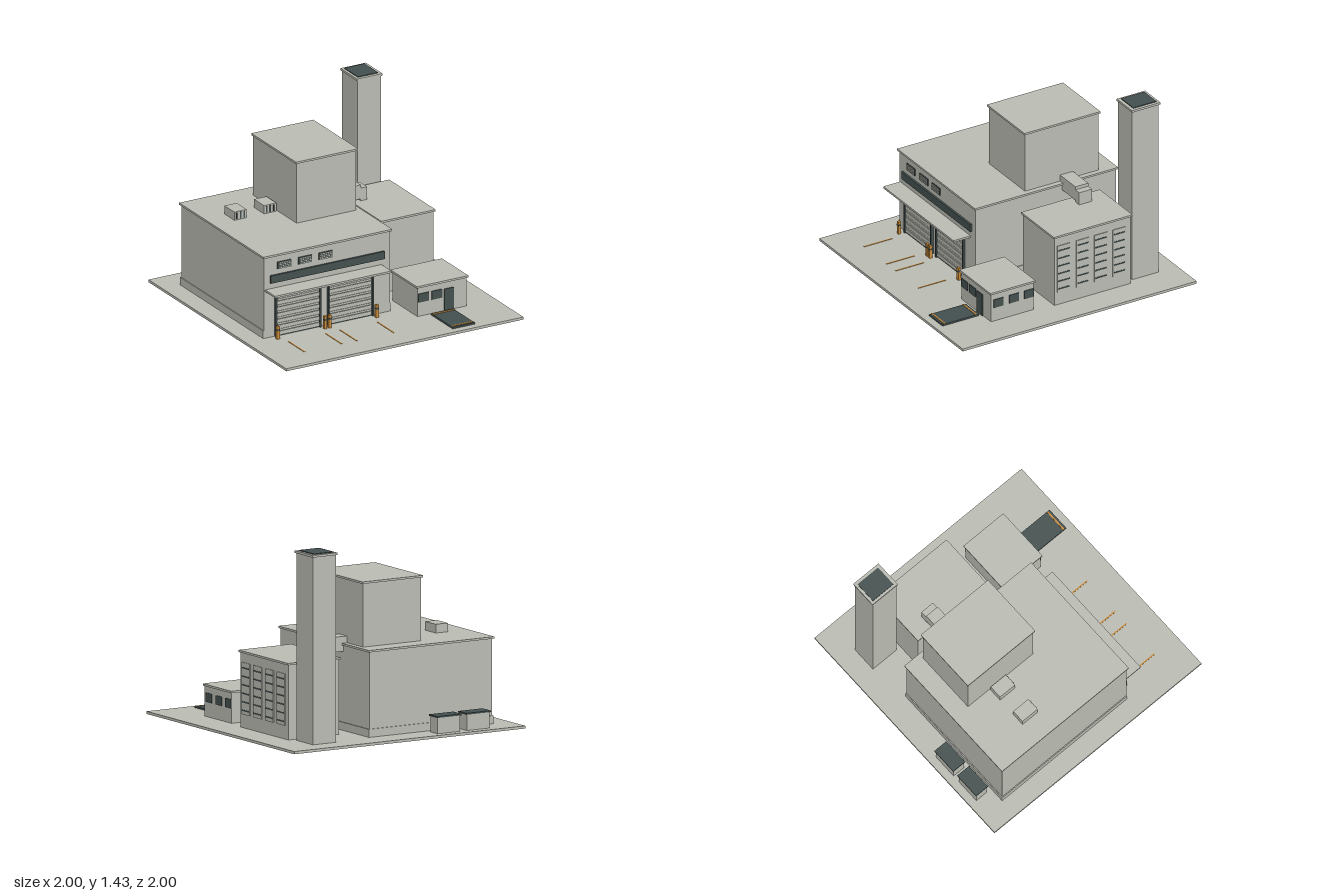
import * as THREE from 'three';

const concrete = new THREE.MeshStandardMaterial({ color: 0xbabbb2 });
concrete.name = 'concrete grey';
const dark = new THREE.MeshStandardMaterial({ color: 0x43504f });
dark.name = 'dark slate';
const orange = new THREE.MeshStandardMaterial({ color: 0xc98c3a });
orange.name = 'safety orange';

// Box given by its extents on each axis
function block(parent, name, mat, [x0, x1], [y0, y1], [z0, z1]) {
  const mesh = new THREE.Mesh(new THREE.BoxGeometry(x1 - x0, y1 - y0, z1 - z0), mat);
  mesh.position.set((x0 + x1) / 2, (y0 + y1) / 2, (z0 + z1) / 2);
  mesh.name = name;
  parent.add(mesh);
  return mesh;
}

function section(parent, name) {
  const g = new THREE.Group();
  g.name = name;
  parent.add(g);
  return g;
}

// Walls with a slightly overhanging flat roof slab
function building(parent, name, x, y, z, over = 0.01, slab = 0.015) {
  const g = section(parent, name);
  block(g, 'walls', concrete, x, [y[0], y[1] - slab], z);
  block(g, 'roofSlab', concrete, [x[0] - over, x[1] + over], [y[1] - slab, y[1]], [z[0] - over, z[1] + over]);
  return g;
}

export function createModel() {
  const model = new THREE.Group();
  model.name = 'factory';
  const G = 0.02;

  block(model, 'groundSlab', concrete, [-1, 1], [0, G], [-1, 1]);

  // Main hall
  const hall = building(model, 'mainHall', [-0.845, 0.217], [G, 0.665], [-0.79, 0.41], 0.012);
  block(hall, 'plinth', concrete, [-0.852, 0.224], [G, 0.08], [-0.797, 0.409]);
  block(hall, 'canopy', concrete, [-0.835, 0.145], [0.385, 0.4], [0.41, 0.555]);
  block(hall, 'signBand', dark, [-0.795, 0.165], [0.445, 0.505], [0.41, 0.425]);

  // High vents with light slats
  for (const x of [-0.677, -0.5, -0.328]) {
    const vent = section(hall, 'wallVent');
    block(vent, 'ventPlate', dark, [x - 0.057, x + 0.057], [0.545, 0.6], [0.41, 0.418]);
    for (let i = 0; i < 4; i++) {
      const y = 0.551 + i * 0.0125;
      block(vent, 'ventSlat', concrete, [x - 0.05, x + 0.05], [y, y + 0.006], [0.416, 0.422]);
    }
  }

  // Roller doors: dark frame, pale slats with dark gaps
  for (const x of [-0.563, -0.122]) {
    const door = section(hall, 'rollerDoor');
    block(door, 'doorBacking', dark, [x - 0.19, x + 0.19], [G, 0.375], [0.41, 0.416]);
    for (const s of [-1, 1])
      block(door, 'doorJamb', dark, [x + s * 0.186 - 0.007, x + s * 0.186 + 0.007], [G, 0.375], [0.41, 0.43]);
    block(door, 'doorHead', dark, [x - 0.193, x + 0.193], [0.363, 0.378], [0.41, 0.43]);
    for (let i = 0; i < 7; i++) {
      const y = 0.03 + i * 0.0475;
      block(door, 'doorSlat', concrete, [x - 0.177, x + 0.177], [y, y + 0.027], [0.414, 0.422]);
      block(door, 'doorRib', concrete, [x - 0.177, x + 0.177], [y + 0.031, y + 0.0435], [0.414, 0.42]);
    }
  }

  // Striped bollards and painted lane lines
  for (const x of [-0.762, -0.362, -0.325, 0.073]) {
    const bollard = section(model, 'bollard');
    block(bollard, 'post', orange, [x - 0.011, x + 0.011], [G, 0.12], [0.455, 0.477]);
    block(bollard, 'band', dark, [x - 0.012, x + 0.012], [0.085, 0.098], [0.454, 0.478]);
  }
  for (const x of [-0.72, -0.408, -0.283, 0.03])
    block(model, 'laneLine', orange, [x - 0.005, x + 0.005], [G, G + 0.003], [0.55, 0.79]);

  // Rooftop units with slotted fronts
  for (const x of [-0.628, -0.378]) {
    const unit = section(model, 'roofUnit');
    block(unit, 'unitBody', concrete, [x - 0.052, x + 0.052], [0.665, 0.73], [-0.45, -0.305]);
    for (const d of [-0.03, 0, 0.03])
      block(unit, 'unitSlot', dark, [x + d - 0.006, x + d + 0.006], [0.672, 0.723], [-0.306, -0.3]);
  }

  // Upper tower and the duct leading from it
  building(model, 'tower', [-0.315, 0.188], [0.66, 1.15], [-0.66, -0.03]);
  const duct = section(model, 'duct');
  block(duct, 'ductRun', concrete, [0.18, 0.402], [0.605, 0.715], [-0.44, -0.33]);
  block(duct, 'ductDrop', concrete, [0.4, 0.455], [0.58, 0.69], [-0.44, -0.33]);

  // Side annex with louvred panels
  const annex = building(model, 'annex', [0.34, 0.777], [G, 0.59], [-0.572, 0.08]);
  for (const z of [0, -0.16, -0.317, -0.473]) {
    const panel = section(annex, 'louvrePanel');
    block(panel, 'panel', concrete, [0.775, 0.783], [0.12, 0.505], [z - 0.056, z + 0.056]);
    for (let i = 0; i < 6; i++) {
      const y = 0.15 + i * 0.063;
      block(panel, 'slit', dark, [0.78, 0.786], [y - 0.005, y + 0.005], [z - 0.047, z + 0.047]);
    }
  }

  // Chimney with rim, dark mouth and a link to the annex
  const chimney = section(model, 'chimney');
  block(chimney, 'shaft', concrete, [0.537, 0.735], [G, 1.41], [-0.838, -0.612]);
  block(chimney, 'rim', concrete, [0.53, 0.744], [1.408, 1.425], [-0.848, -0.605]);
  block(chimney, 'mouth', dark, [0.55, 0.72], [1.422, 1.431], [-0.827, -0.63]);
  block(chimney, 'flueLink', concrete, [0.58, 0.685], [0.33, 0.44], [-0.615, -0.57]);

  // Gatehouse
  const gate = building(model, 'gatehouse', [0.335, 0.75], [G, 0.26], [0.24, 0.605]);
  for (const x of [0.385, 0.497])
    block(gate, 'frontWindow', dark, [x - 0.045, x + 0.045], [0.13, 0.197], [0.604, 0.612]);
  block(gate, 'door', dark, [0.56, 0.64], [G, 0.193], [0.604, 0.613]);
  for (const z of [0.543, 0.41, 0.281])
    block(gate, 'sideWindow', dark, [0.748, 0.756], [0.13, 0.197], [z - 0.04, z + 0.04]);

  // Weighbridge in front of the gatehouse
  const scale = section(model, 'weighbridge');
  block(scale, 'plate', dark, [0.437, 0.623], [G, 0.033], [0.63, 0.942]);
  for (const z of [0.652, 0.92])
    block(scale, 'stripe', orange, [0.437, 0.623], [0.03, 0.036], [z - 0.006, z + 0.006]);

  // Waste bins behind the hall
  for (const x of [-0.63, -0.377]) {
    const bin = section(model, 'wasteBin');
    block(bin, 'binBody', concrete, [x - 0.098, x + 0.098], [G, 0.14], [-0.938, -0.84]);
    block(bin, 'binLid', dark, [x - 0.105, x + 0.105], [0.139, 0.15], [-0.947, -0.833]);
  }

  return model;
}
